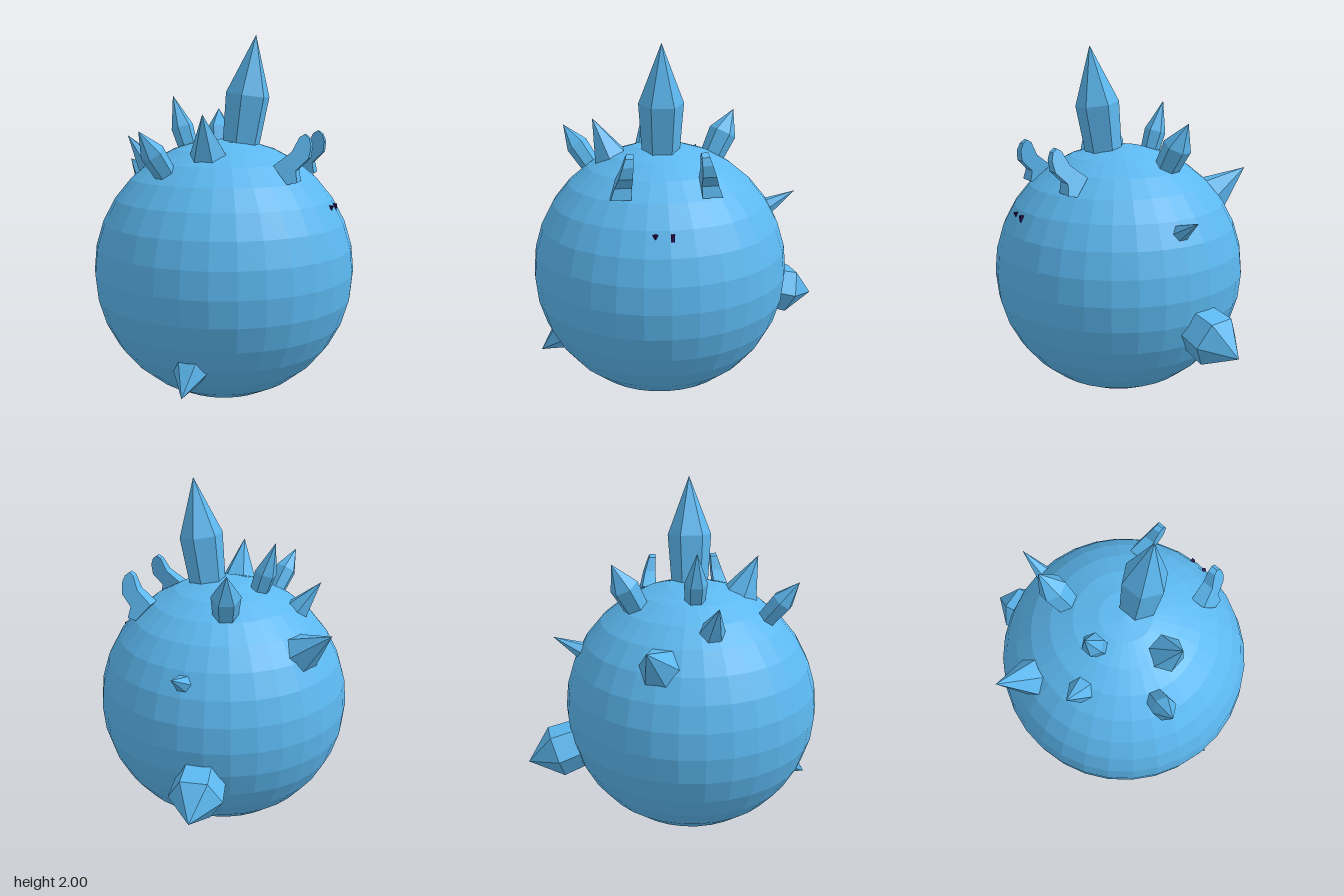
import * as THREE from 'three';

const CENTER = new THREE.Vector3(0, 0.725, 0.113);

export function createModel() {
  const model = new THREE.Group();
  const skin = new THREE.MeshStandardMaterial({ color: 0x5cb8f0, flatShading: true });
  const dark = new THREE.MeshStandardMaterial({ color: 0x2a1150, flatShading: true, side: THREE.DoubleSide });

  const add = (parent, name, geometry, material = skin) => {
    const mesh = new THREE.Mesh(geometry, material);
    mesh.name = name;
    parent.add(mesh);
    return mesh;
  };

  // Round body
  add(model, 'body', new THREE.SphereGeometry(0.722, 32, 16)).position.copy(CENTER);

  // Six-sided spikes pointing straight out of the body.
  // tip: position of the point; from / shoulder: distances from the body centre;
  // r: widest radius. Spikes without a shoulder are plain cones.
  const spikes = [
    { name: 'topSpike', tip: [0.18, 2.0, 0.113], from: 0.65, shoulder: 0.97, r: 0.122, base: 0.1 },
    { name: 'backSpike', tip: [-0.15, 0.45, -0.832], from: 0.6, shoulder: 0.83, r: 0.146, base: 0.13 },
    { name: 'crownSpike', tip: [-0.3, 1.68, 0.105], from: 0.66, shoulder: 0.82, r: 0.062, base: 0.052 },
    { name: 'rearCrownSpike', tip: [-0.17, 1.6, -0.33], from: 0.66, shoulder: 0.85, r: 0.08, base: 0.066 },
    { name: 'browSpike', tip: [-0.275, 1.51, 0.65], from: 0.66, shoulder: 0.85, r: 0.064, base: 0.054 },
    { name: 'frontTopCone', tip: [0, 1.59, 0.48], from: 0.69, r: 0.108 },
    { name: 'rightCone', tip: [-0.54, 1.46, 0.19], from: 0.69, r: 0.078 },
    { name: 'rightRearCone', tip: [-0.69, 1.295, -0.18], from: 0.69, r: 0.118 },
    { name: 'smallBackCone', tip: [0, 1.15, -0.665], from: 0.69, r: 0.054 },
    { name: 'lowerFrontCone', tip: [0, 0.22, 0.82], from: 0.68, r: 0.108 },
  ];
  for (const s of spikes) {
    const dir = new THREE.Vector3(...s.tip).sub(CENTER);
    const length = dir.length();
    dir.normalize();
    const spike = new THREE.Group();
    spike.name = s.name;
    spike.position.copy(CENTER);
    spike.rotation.set(Math.acos(dir.y), Math.atan2(dir.x, dir.z), 0, 'YXZ');
    model.add(spike);

    const prism = (name, top, bottom, y0, y1) => add(spike, name,
      new THREE.CylinderGeometry(top, bottom, y1 - y0, 6, 1, false, Math.PI / 2)
        .translate(0, (y0 + y1) / 2, 0));
    if (s.shoulder) prism('shaft', s.r, s.base, s.from, s.shoulder);
    prism('point', 0, s.r, s.shoulder ?? s.from, length);
  }

  // Pair of bent ears on the left side, thinner and closer together at the top
  const outline = [
    [0.42, 1.24], [0.47, 1.25], [0.46, 1.31], [0.52, 1.37], [0.528, 1.43],
    [0.515, 1.47], [0.49, 1.49], [0.465, 1.475], [0.43, 1.4], [0.34, 1.33],
  ].map(([x, y]) => new THREE.Vector2(x, y));
  for (const side of [1, -1]) {
    const geometry = new THREE.ExtrudeGeometry(new THREE.Shape(outline), { depth: 2, bevelEnabled: false });
    geometry.translate(0, 0, -1);
    const p = geometry.attributes.position;
    for (let i = 0; i < p.count; i++) {
      const t = (p.getY(i) - 1.24) / 0.25;
      const middle = THREE.MathUtils.lerp(0.235, 0.185, t);
      const half = THREE.MathUtils.lerp(0.054, 0.018, t);
      p.setZ(i, CENTER.z + side * middle + p.getZ(i) * half);
    }
    geometry.computeVertexNormals();
    add(model, side > 0 ? 'frontEar' : 'rearEar', geometry);
  }

  // Two tiny dark eye marks just breaking the surface below the ears
  add(model, 'rearEye', new THREE.BoxGeometry(0.03, 0.04, 0.02), dark).position.set(0.612, 1.09, 0.1);
  add(model, 'frontEye', new THREE.CylinderGeometry(0.015, 0, 0.03, 4), dark).position.set(0.613, 1.095, 0.186);

  return model;
}
